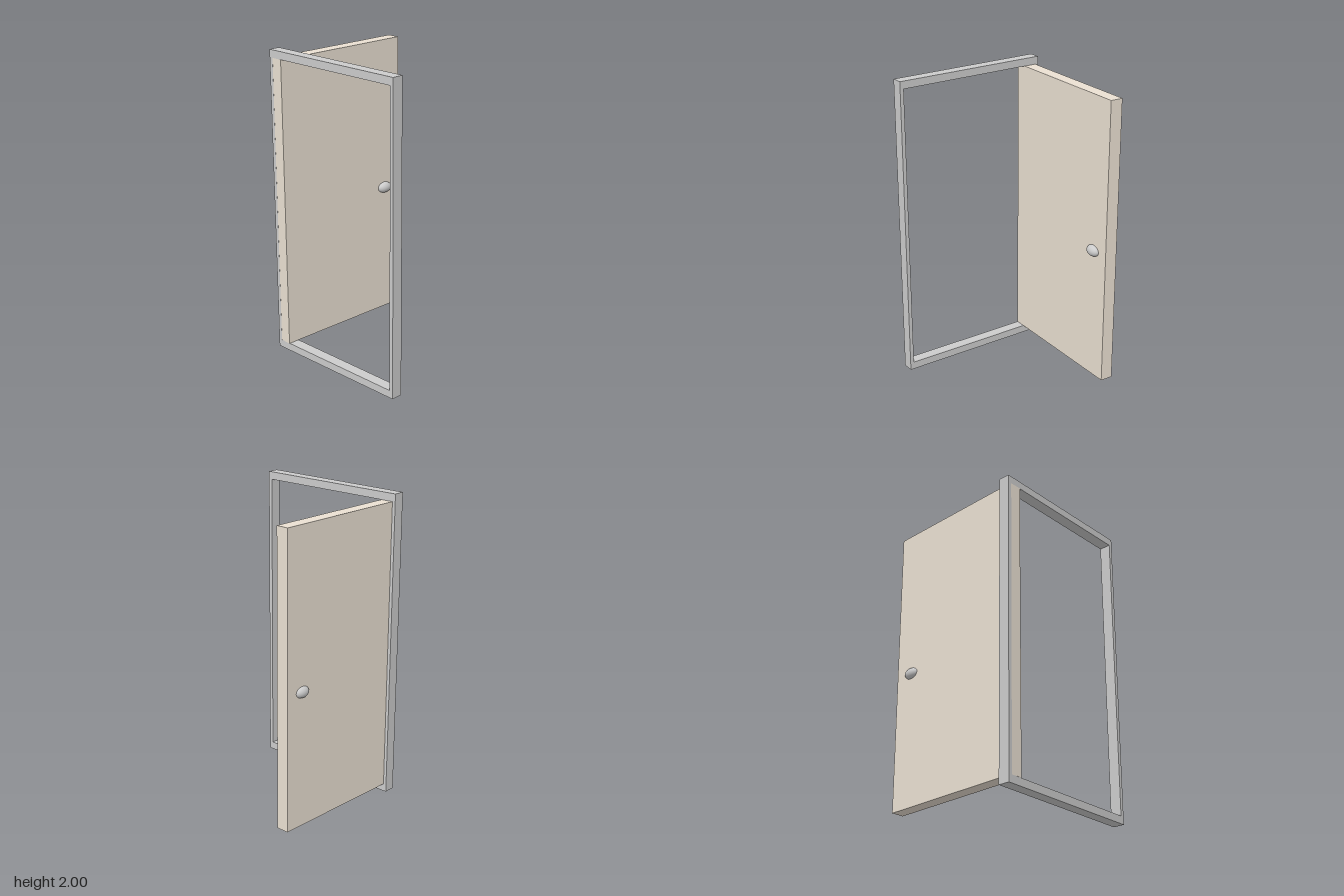
import * as THREE from 'three';

export function createModel() {
  const model = new THREE.Group();
  model.name = 'openDoor';
  const grey = new THREE.MeshStandardMaterial({ color: 0xcccccc });
  const cream = new THREE.MeshStandardMaterial({ color: 0xeae0d2 });

  // Door frame: rectangle with an opening, extruded through the wall thickness
  const outline = new THREE.Shape([[-0.52, 0], [0.52, 0], [0.52, 2], [-0.52, 2]]
    .map(([x, y]) => new THREE.Vector2(x, y)));
  outline.holes.push(new THREE.Path([[-0.495, 0.05], [-0.495, 1.95], [0.495, 1.95], [0.495, 0.05]]
    .map(([x, y]) => new THREE.Vector2(x, y))));
  const frameGeometry = new THREE.ExtrudeGeometry(outline, { depth: 0.075, bevelEnabled: false });
  frameGeometry.rotateY(Math.PI / 2);
  const frame = new THREE.Mesh(frameGeometry, grey);
  frame.name = 'doorFrame';
  frame.position.x = -0.495;
  model.add(frame);

  // Door leaf swung open, slightly past square to the frame
  const door = new THREE.Group();
  door.name = 'door';
  door.position.set(-0.001, 0, -0.442);
  door.rotation.y = -0.036;
  model.add(door);

  const panel = new THREE.Mesh(new THREE.BoxGeometry(0.99, 1.9, 0.084), cream);
  panel.name = 'doorPanel';
  panel.position.y = 1;
  door.add(panel);

  // Flattened oval knobs on both faces
  const knobGeometry = new THREE.SphereGeometry(1, 40, 24).scale(0.054, 0.037, 0.036);
  for (const side of [1, -1]) {
    const knob = new THREE.Mesh(knobGeometry, grey);
    knob.name = side > 0 ? 'frontKnob' : 'backKnob';
    knob.position.set(0.368, 0.934, 0.004 + side * 0.0385);
    door.add(knob);
  }
  return model;
}
